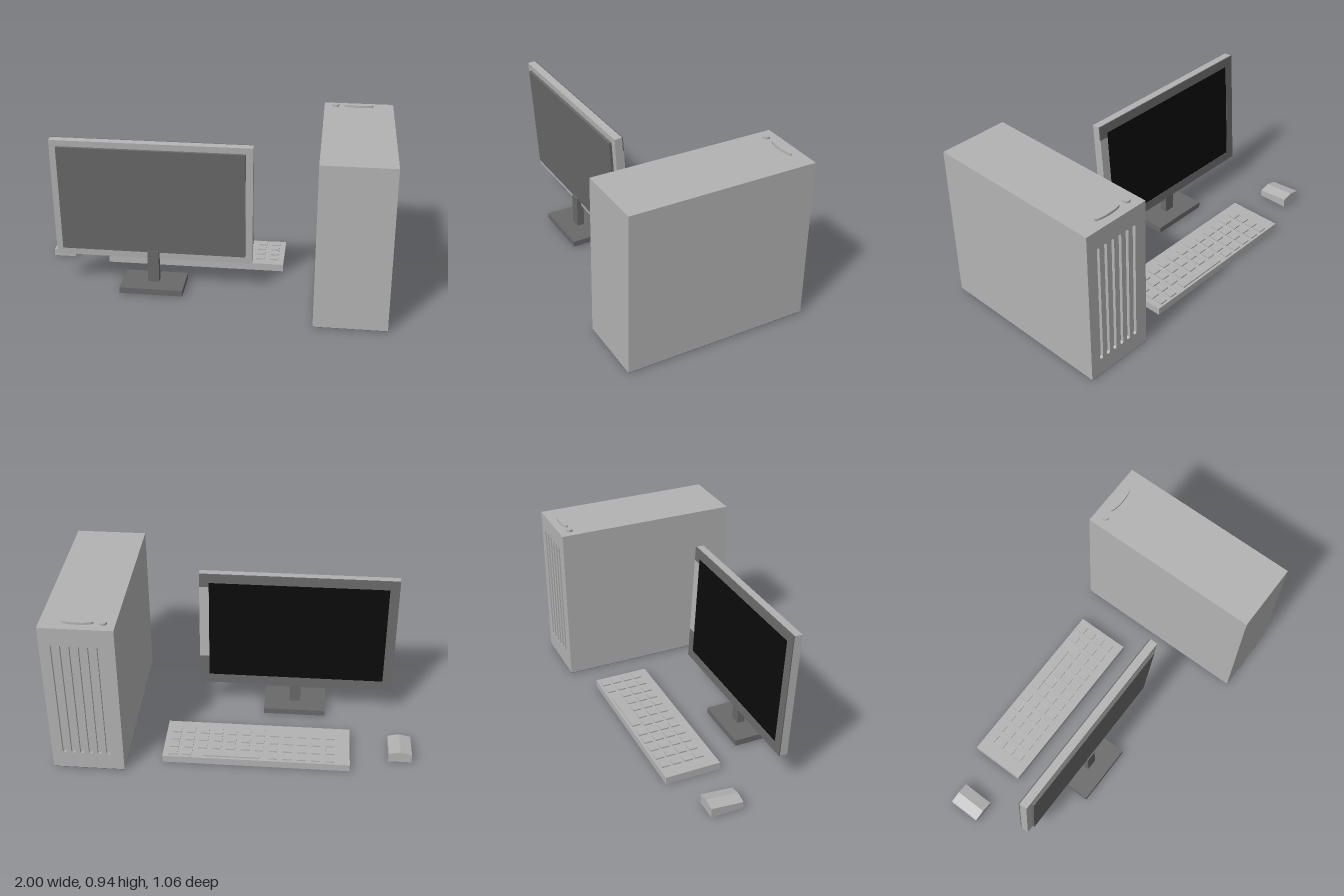
import * as THREE from 'three';

export function createModel() {
  const mat = (name, color) => {
    const m = new THREE.MeshStandardMaterial({ color });
    m.name = name;
    return m;
  };
  const grey = mat('light grey plastic', 0xb3b3b3);
  const dark = mat('dark grey plastic', 0x696969);
  const black = mat('black screen', 0x0a0a0a);
  const slate = mat('slate underside', 0x5c667a);

  const model = new THREE.Group();
  model.name = 'desktopComputer';

  const group = (name) => {
    const g = new THREE.Group();
    g.name = name;
    model.add(g);
    return g;
  };
  const add = (parent, name, geometry, material) => {
    const mesh = new THREE.Mesh(geometry, material);
    mesh.name = name;
    parent.add(mesh);
    return mesh;
  };
  // Box given by its minimum and maximum corners
  const box = (parent, name, material, [x0, y0, z0], [x1, y1, z1]) => {
    const mesh = add(parent, name, new THREE.BoxGeometry(x1 - x0, y1 - y0, z1 - z0), material);
    mesh.position.set((x0 + x1) / 2, (y0 + y1) / 2, (z0 + z1) / 2);
    return mesh;
  };

  // Tower case with a slotted vent panel
  const tower = group('tower');
  box(tower, 'towerBody', grey, [0.6, 0.007, -0.512], [1, 0.93, 0.527]);
  box(tower, 'towerUnderside', slate, [0.6, 0.005, -0.53], [1, 0.007, 0.527]);

  const panel = new THREE.Shape();
  panel.moveTo(0.6, 0.007).lineTo(1, 0.007).lineTo(1, 0.93).lineTo(0.6, 0.93).closePath();
  const r = 0.011;
  for (let i = 0; i < 6; i++) {
    const x = 0.684 + i * 0.049;
    const slot = new THREE.Path();
    slot.absarc(x, 0.815, r, 0, Math.PI, false);
    slot.absarc(x, 0.12, r, Math.PI, Math.PI * 2, false);
    slot.closePath();
    panel.holes.push(slot);
  }
  const ventGeometry = new THREE.ExtrudeGeometry(panel, { depth: 0.018, bevelEnabled: false, curveSegments: 8 });
  add(tower, 'ventPanel', ventGeometry, grey).position.z = -0.53;

  // Round and oval buttons on top of the tower
  for (const [name, x, rx, rz] of [['smallButton', 0.665, 0.02, 0.019], ['powerButton', 0.8, 0.085, 0.019]]) {
    const button = add(tower, name, new THREE.CylinderGeometry(1, 1, 0.014, 32), grey);
    button.scale.set(rx, 1, rz);
    button.position.set(x, 0.936, -0.466);
  }

  // Monitor, leaning back; its screen looks towards the keyboard
  const monitor = group('monitor');
  const W = 0.565, H = 0.712, B = 0.055;
  monitor.position.set(-0.325, 0.178, 0.1);
  monitor.rotation.x = Math.atan2(0.05, H);
  box(monitor, 'monitorBody', grey, [-W, 0, 0.006], [W, H, 0.05]);
  box(monitor, 'rearCover', dark, [-0.525, 0.047, 0.05], [0.525, 0.677, 0.066]);
  box(monitor, 'screen', black, [-W + B, B, 0.002], [W - B, H - B, 0.006]);
  box(monitor, 'bezelTop', dark, [-W, H - B, 0], [W, H, 0.006]);
  box(monitor, 'bezelBottom', dark, [-W, 0, 0], [W, B, 0.006]);
  box(monitor, 'bezelSide', dark, [-W, B, 0], [-W + B, H - B, 0.006]);
  // The other side of the bezel has a light section
  box(monitor, 'bezelSideLower', dark, [W - B, B, 0], [W, 0.18, 0.006]);
  box(monitor, 'bezelSideLight', grey, [W - B, 0.18, 0], [W, 0.63, 0.006]);
  box(monitor, 'bezelSideUpper', dark, [W - B, 0.63, 0], [W, H - B, 0.006]);

  // Stand
  const stand = group('stand');
  box(stand, 'standBase', dark, [-0.506, 0.005, 0.046], [-0.145, 0.04, 0.275]);
  box(stand, 'standNeck', dark, [-0.357, 0.04, 0.135], [-0.293, 0.23, 0.178]);

  // Keyboard with four rows of keys and a space bar
  const keyboard = group('keyboard');
  box(keyboard, 'keyboardBase', grey, [-0.652, 0, -0.44], [0.4, 0.043, -0.122]);
  const key = (name, x0, x1, z) =>
    box(keyboard, name, grey, [x0, 0.04, z - 0.025], [x1, 0.051, z + 0.025]);
  [-0.4, -0.335, -0.268, -0.202].forEach((z, row) => {
    for (let col = 0; col < 12; col++) {
      if (row === 0 && col >= 5 && col <= 9) continue;
      const x = -0.542 + col * 0.0803;
      key('key', x - 0.025, x + 0.025, z);
    }
  });
  key('spaceBar', -0.146, 0.174, -0.4);

  // Mouse: a box with a ridged top that slopes down to one end
  const mouseBox = new THREE.BoxGeometry(0.13, 0.05, 0.182, 2, 1, 1);
  const p = mouseBox.attributes.position;
  for (let i = 0; i < p.count; i++) {
    if (p.getY(i) < 0) p.setY(i, 0.005);
    else p.setY(i, 0.043 + (Math.abs(p.getX(i)) < 0.01 ? 0.014 : 0) + (p.getZ(i) < 0 ? 0.016 : 0));
  }
  const mouseGeometry = mouseBox.toNonIndexed();
  mouseGeometry.computeVertexNormals();
  const mouse = add(model, 'mouse', mouseGeometry, [grey, grey, grey, slate, grey, grey]);
  mouse.position.set(-0.935, 0, -0.251);

  return model;
}
